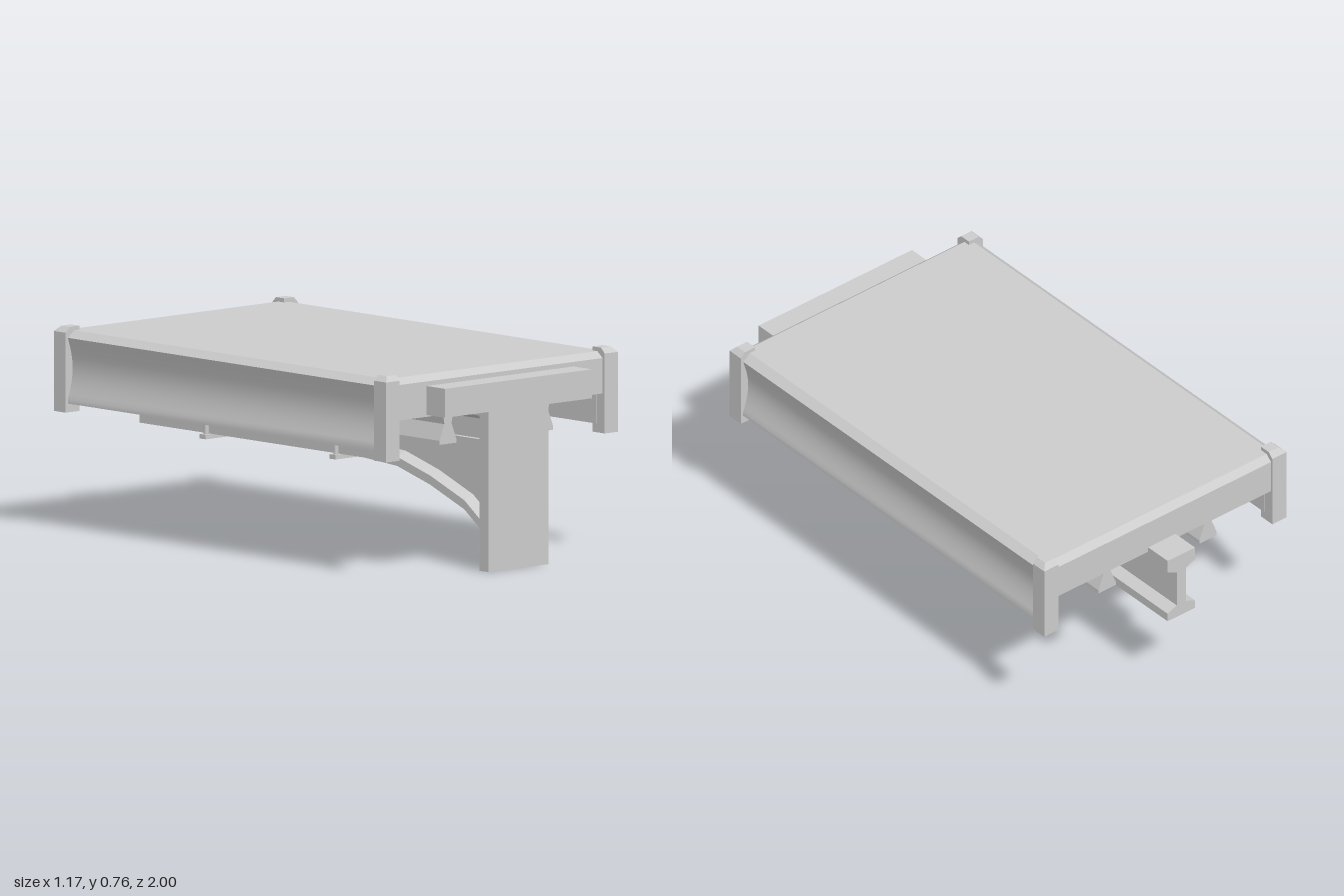
import * as THREE from 'three';
import { toCreasedNormals } from 'three/addons/utils/BufferGeometryUtils.js';

const mat = new THREE.MeshStandardMaterial({ color: 0xcccccc });

export function createModel() {
  const model = new THREE.Group();
  const add = (name, geo, parent = model) => {
    const mesh = new THREE.Mesh(geo, mat);
    mesh.name = name;
    parent.add(mesh);
    return mesh;
  };
  const box = (x0, x1, y0, y1, z0, z1) =>
    new THREE.BoxGeometry(x1 - x0, y1 - y0, z1 - z0)
      .translate((x0 + x1) / 2, (y0 + y1) / 2, (z0 + z1) / 2);
  const toShape = pts => new THREE.Shape(pts.map(p => new THREE.Vector2(...p)));
  // (x, y) outline run along z
  const alongZ = (pts, z0, z1) =>
    new THREE.ExtrudeGeometry(toShape(pts), { depth: z1 - z0, bevelEnabled: false }).translate(0, 0, z0);
  // (z, y) outline run along x, centred on cx
  const alongX = (pts, width, cx, holes = []) => {
    const s = toShape(pts.map(([z, y]) => [-z, y]));
    for (const [z, y, r] of holes) s.holes.push(new THREE.Path().absarc(-z, y, r, 0, Math.PI * 2, true));
    return new THREE.ExtrudeGeometry(s, { depth: width, bevelEnabled: false, curveSegments: 16 })
      .translate(0, 0, -width / 2).rotateY(Math.PI / 2).translate(cx, 0, 0);
  };
  // move the corners of a geometry by a rule
  const reshape = (geo, rule) => {
    const p = geo.attributes.position, v = new THREE.Vector3();
    for (let i = 0; i < p.count; i++) {
      rule(v.fromBufferAttribute(p, i));
      p.setXYZ(i, v.x, v.y, v.z);
    }
    const flat = geo.toNonIndexed();
    flat.computeVertexNormals();
    return flat;
  };

  // Deck slab with sloped front and back top edges
  add('deck', alongX([[0.9, 0.59], [0.9, 0.722], [0.872, 0.745], [-0.862, 0.745], [-0.888, 0.722], [-0.888, 0.59]], 1.06, 0));

  // Side panels with a hollowed outer face
  const hollow = [];
  for (let i = 0; i <= 12; i++) {
    const t = i / 12;
    hollow.push([0.572 - 0.024 * Math.sin(Math.PI * t), 0.49 + 0.23 * t]);
  }
  for (const s of [1, -1]) {
    const pts = [[0.512, 0.475], [0.572, 0.475], ...hollow, [0.54, 0.745], [0.512, 0.745]];
    add(s > 0 ? 'leftSidePanel' : 'rightSidePanel',
      toCreasedNormals(alongZ(pts.map(([x, y]) => [s * x, y]), -0.85, 0.87), 0.5));
  }

  // Corner posts, bevelled on the two outer top edges
  for (const s of [1, -1]) {
    for (const [z0, z1, f] of [[0.847, 0.912, 1], [-0.895, -0.83, -1]]) {
      const x0 = s > 0 ? 0.515 : -0.583, x1 = x0 + 0.068;
      const post = new THREE.Group();
      post.name = 'cornerPost';
      model.add(post);
      add('postShaft', box(x0, x1, 0.442, 0.74, z0, z1), post);
      add('postCap', reshape(box(x0, x1, 0.74, 0.76, z0, z1), v => {
        if (v.y < 0.75) return;
        if (v.x * s > 0.55) v.x -= s * 0.02;
        if (v.z * f > 0.865) v.z -= f * 0.02;
      }), post);
    }
  }

  // Two flared rails under the deck
  const half = [[0.042, 0.475], [0.042, 0.49], [0.018, 0.55], [0.026, 0.595]];
  const railOutline = [...half, ...half.map(([x, y]) => [-x, y]).reverse()];
  for (const s of [1, -1])
    add('rail', alongZ(railOutline.map(([x, y]) => [x + s * 0.243, y]), -0.85, 0.88));

  // Front wall plate: crossbar and bevelled leg
  add('crossbar', box(-0.369, 0.369, 0.597, 0.705, 0.9, 1));
  add('legFront', box(-0.15, 0.15, 0, 0.6, 0.95, 1));
  add('legBack', reshape(box(-0.15, 0.15, 0, 0.6, 0.913, 0.95), v => {
    if (v.z > 0.93) return;
    v.x *= 0.74;
    if (v.y < 0.3) v.y += 0.04;
  }));

  // Support beam: pierced web, top flange, and curved bottom flange
  const cx = 0.011, w = 0.066, web = 0.022;
  const path = [[0.93, 0.08], [0.765, 0.2], [0.58, 0.272], [0.4, 0.323], [0.22, 0.335], [-1, 0.335]];
  add('beamWeb', alongX([...path.map(([z, y]) => [z, y + 0.02]), [-1, 0.58], [0.93, 0.58]], web * 2, cx,
    [[0.135, 0.46, 0.075], [-0.187, 0.46, 0.075], [-0.515, 0.46, 0.075]]));
  add('beamTopFlange', alongZ([[-web, 0.538], [web, 0.538], [w, 0.558], [w, 0.61], [-w, 0.61], [-w, 0.558]]
    .map(([x, y]) => [x + cx, y]), -1, 0.93));

  // Bottom flange: one cross-section repeated along the path
  const section = [[-w, 0], [w, 0], [w, 0.034], [web, 0.052], [-web, 0.052], [-w, 0.034]];
  const n = section.length, pos = [], idx = [];
  for (const [z, y] of path) for (const [x, dy] of section) pos.push(x + cx, y + dy, z);
  for (let i = 0; i < path.length - 1; i++) {
    for (let j = 0; j < n; j++) {
      const a = i * n + j, b = i * n + (j + 1) % n;
      idx.push(a, a + n, b, b, a + n, b + n);
    }
  }
  const last = (path.length - 1) * n;
  for (let j = 1; j < n - 1; j++) idx.push(0, j, j + 1, last, last + j + 1, last + j);
  const flange = new THREE.BufferGeometry();
  flange.setAttribute('position', new THREE.Float32BufferAttribute(pos, 3));
  flange.setIndex(idx);
  add('beamBottomFlange', reshape(flange, () => {}));

  // Raised gusset panel on both faces of the web
  add('gusset', alongX([[0.93, 0.23], [0.82, 0.312], [0.7, 0.357], [0.572, 0.395], [0.572, 0.465], [0.93, 0.465]], 0.084, cx));

  // Hanger clamps: two rods joined by a bar under the beam
  for (const z of [0.085, -0.62]) {
    const clamp = new THREE.Group();
    clamp.name = 'hangerClamp';
    model.add(clamp);
    for (const s of [1, -1])
      add('clampRod', new THREE.CylinderGeometry(0.01, 0.01, 0.28, 10).translate(cx + s * 0.082, 0.46, z), clamp);
    add('clampBar', box(cx - 0.1, cx + 0.1, 0.318, 0.335, z - 0.016, z + 0.016), clamp);
  }
  return model;
}
